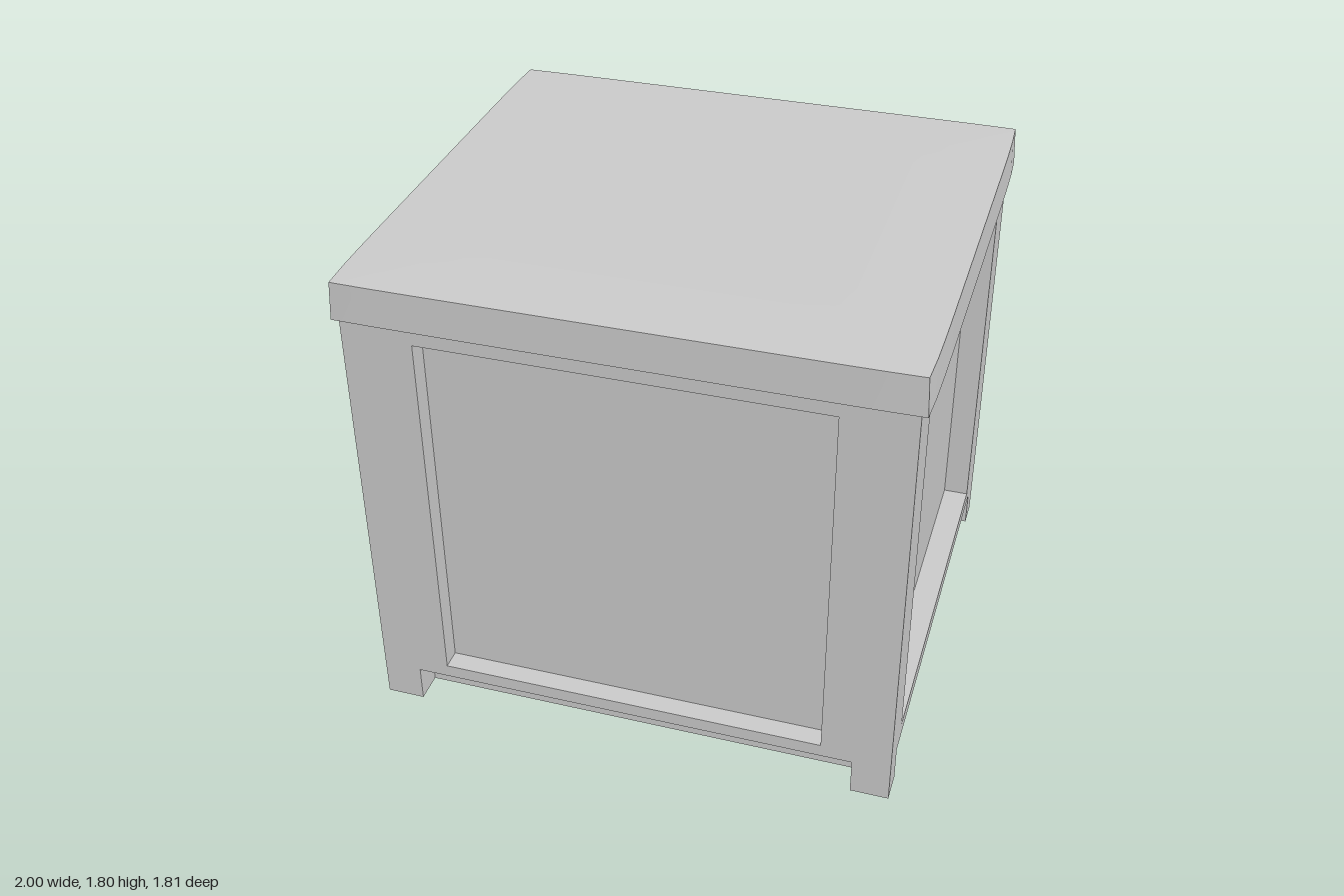
import * as THREE from 'three';

const material = new THREE.MeshStandardMaterial({ color: 0xcccccc });
const HALF_X = 0.97, HALF_Z = 0.89;      // outer faces of the cabinet
const FOOT_X = 0.14, FOOT_Z = 0.11;      // foot size, also the plinth setback
const FOOT_H = 0.14, BODY_TOP = 1.66, TOP = 1.805;

function add(parent, name, geometry) {
  const mesh = new THREE.Mesh(geometry, material);
  mesh.name = name;
  parent.add(mesh);
  return mesh;
}

function block(parent, name, hx, hz, y0, y1) {
  const mesh = add(parent, name, new THREE.BoxGeometry(hx * 2, y1 - y0, hz * 2));
  mesh.position.y = (y0 + y1) / 2;
}

// Flat frame with a rectangular opening, extruded along +z
function frame(outline, hx, y0, y1, depth) {
  const shape = new THREE.Shape(outline.map(([x, y]) => new THREE.Vector2(x, y)));
  shape.holes.push(new THREE.Path(
    [[-hx, y0], [-hx, y1], [hx, y1], [hx, y0]].map(([x, y]) => new THREE.Vector2(x, y))));
  return new THREE.ExtrudeGeometry(shape, { depth, bevelEnabled: false });
}

// Lid: tapers upward, with slightly bowed sides and a faint crown
function lidGeometry() {
  const h = TOP - BODY_TOP;
  const g = new THREE.BoxGeometry(2, h, 2, 16, 1, 16);
  const p = g.attributes.position;
  for (let i = 0; i < p.count; i++) {
    const x = p.getX(i), z = p.getZ(i), top = p.getY(i) > 0;
    const bowX = 1 - 0.008 * Math.pow(Math.abs(z), 8);
    const bowZ = 1 - 0.004 * Math.pow(Math.abs(x), 8);
    const edge = Math.pow(Math.max(Math.abs(x), Math.abs(z)), 8);
    p.setXYZ(i,
      x * (top ? 0.992 : 1) * bowX,
      top ? TOP - 0.005 * edge : BODY_TOP,
      z * (top ? 0.902 : 0.907) * bowZ);
  }
  g.computeVertexNormals();
  return g;
}

export function createModel() {
  const group = new THREE.Group();
  group.name = 'cabinet';

  // Solid core whose faces are the recessed panels, over a set-back plinth
  block(group, 'recessedPanels', HALF_X - 0.095, HALF_Z - 0.075, 0.16, BODY_TOP - 0.005);
  block(group, 'plinth', HALF_X - FOOT_X, HALF_Z - FOOT_Z, 0, 0.3);

  // Front and back frames run full width and carry the feet
  const fx = HALF_X - FOOT_X, sz = HALF_Z - FOOT_Z;
  const wide = frame([
    [-HALF_X, 0], [-fx, 0], [-fx, FOOT_H], [fx, FOOT_H], [fx, 0],
    [HALF_X, 0], [HALF_X, BODY_TOP], [-HALF_X, BODY_TOP],
  ], 0.715, 0.19, 1.6, FOOT_Z);
  // Side frames fit between them
  const side = frame([
    [-sz, FOOT_H], [sz, FOOT_H], [sz, BODY_TOP], [-sz, BODY_TOP],
  ], 0.71, 0.2, 1.59, FOOT_X);
  wide.translate(0, 0, sz);
  side.translate(0, 0, fx);

  add(group, 'frontFrame', wide);
  add(group, 'backFrame', wide).rotation.y = Math.PI;
  add(group, 'leftFrame', side).rotation.y = Math.PI / 2;
  add(group, 'rightFrame', side).rotation.y = -Math.PI / 2;

  add(group, 'lid', lidGeometry());
  return group;
}
